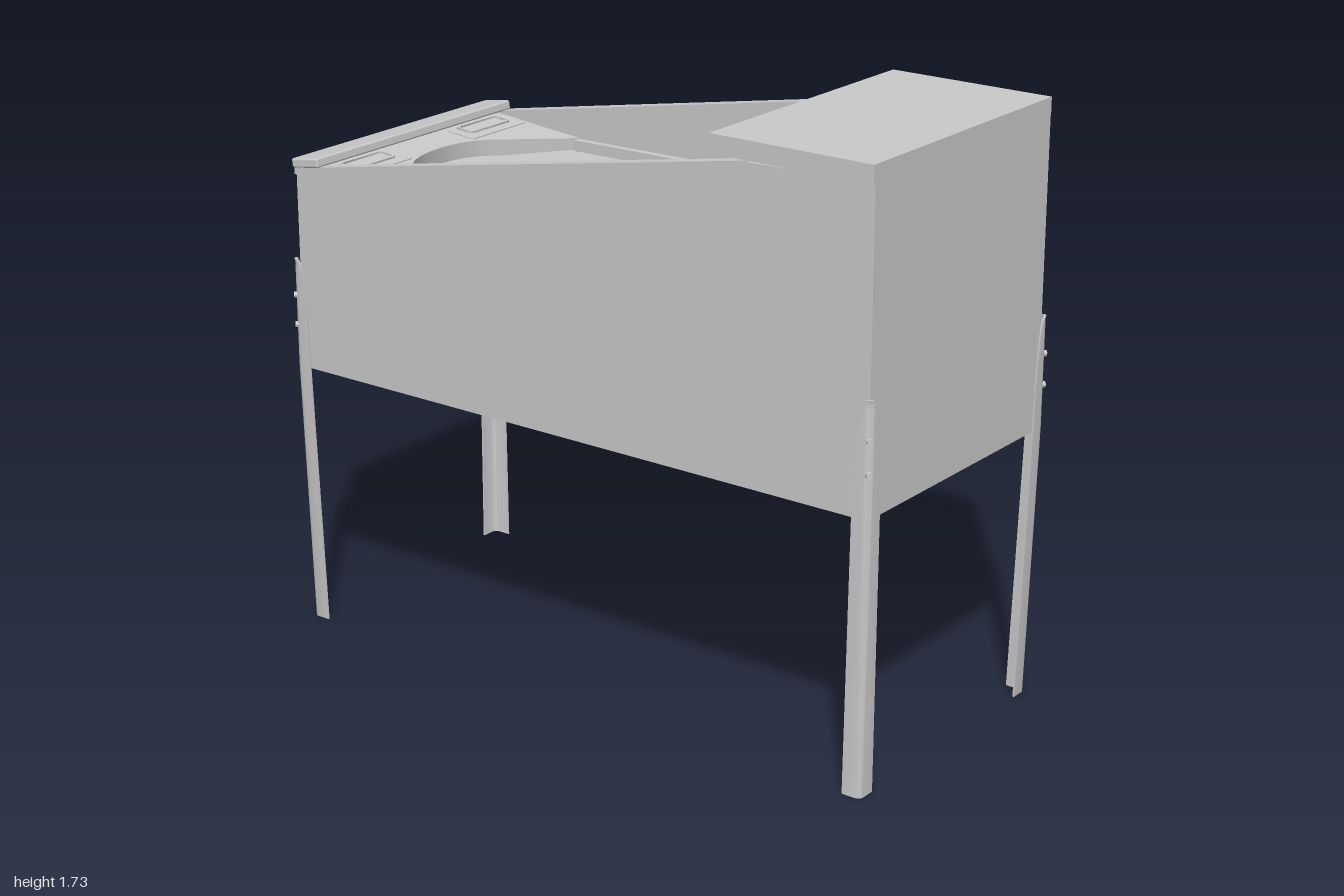
import * as THREE from 'three';
import { RoundedBoxGeometry } from 'three/addons/geometries/RoundedBoxGeometry.js';
import { toCreasedNormals } from 'three/addons/utils/BufferGeometryUtils.js';

const grey = new THREE.MeshStandardMaterial({ color: 0xcccccc });
const sheet = new THREE.MeshStandardMaterial({ color: 0xcccccc, side: THREE.DoubleSide });

function add(parent, name, geometry, x = 0, y = 0, z = 0, material = grey) {
  const mesh = new THREE.Mesh(geometry, material);
  mesh.name = name;
  mesh.position.set(x, y, z);
  parent.add(mesh);
  return mesh;
}
const box = (w, h, d) => new THREE.BoxGeometry(w, h, d);

// Rounded rectangle, centred on (cx, cy)
function roundRect(w, h, r, cx = 0, cy = 0, Type = THREE.Shape) {
  const s = new Type(), a = w / 2 - r, b = h / 2 - r;
  s.absarc(cx + a, cy + b, r, 0, Math.PI / 2);
  s.absarc(cx - a, cy + b, r, Math.PI / 2, Math.PI);
  s.absarc(cx - a, cy - b, r, Math.PI, Math.PI * 1.5);
  s.absarc(cx + a, cy - b, r, Math.PI * 1.5, Math.PI * 2);
  s.closePath();
  return s;
}
const frameShape = (w, h, r, t) => {
  const s = roundRect(w, h, r);
  s.holes.push(roundRect(w - 2 * t, h - 2 * t, Math.max(r - t, 0.006), 0, 0, THREE.Path));
  return s;
};
const extrude = (shape, depth, bevel = 0) => toCreasedNormals(new THREE.ExtrudeGeometry(shape, {
  depth, bevelEnabled: bevel > 0, bevelSize: bevel, bevelThickness: bevel, bevelOffset: -bevel,
  bevelSegments: 2, curveSegments: 8,
}), 0.6);

// Folded sheet leg: L-shaped cross-sections with a rounded corner, tapering to a rounded top
function legGeometry() {
  const rows = [[0, 0.058, 0.014], [0.8, 0.053, 0], [0.92, 0.05, 0], [1.0, 0.043, 0],
    [1.06, 0.037, 0], [1.095, 0.03, 0], [1.112, 0.023, 0], [1.12, 0.014, 0]]; // y, flange width, inset
  const pos = [], idx = [], r = 0.018, t = 0.005, n = 16;
  for (const [y, w, inset] of rows) {
    const ring = [];
    const side = (o, e, rad) => {
      const q = Math.min(rad, w - 0.002), pts = [[-w, -o]];
      for (let i = 0; i <= 6; i++) {
        const a = Math.PI / 2 * (1 - i / 6);
        pts.push([-o - q + q * Math.cos(a), -o - q + q * Math.sin(a)]);
      }
      pts.push([-o, -w]);
      return pts;
    };
    ring.push(...side(0, w, r), ...side(t, w, r - t).reverse().slice(0, 8), [-w, -t]);
    ring.length = 18;
    for (const [x, z] of ring) pos.push(0.434 - inset + x, y, 0.997 - inset + z);
  }
  const m = n + 2;
  for (let k = 0; k < rows.length - 1; k++) for (let i = 0; i < m; i++) {
    const a = k * m + i, b = k * m + (i + 1) % m;
    idx.push(a, a + m, b, b, a + m, b + m);
  }
  // End caps between the outer and inner skins
  for (const k of [0, rows.length - 1]) for (let i = 0; i < m / 2 - 1; i++) {
    const a = k * m + i, b = k * m + m - 1 - i;
    idx.push(a, a + 1, b, a + 1, b - 1, b);
  }
  const g = new THREE.BufferGeometry();
  g.setAttribute('position', new THREE.Float32BufferAttribute(pos, 3));
  g.setIndex(idx);
  return toCreasedNormals(g, 0.6);
}

export function createModel() {
  const model = new THREE.Group();
  model.name = 'arcadeTable';

  // Cabinet sides with the sloping rim
  const profile = new THREE.Shape([[-0.98, 0.79], [0.985, 0.79], [0.985, 1.68], [0.6, 1.67], [-0.98, 1.385]]
    .map(([z, y]) => new THREE.Vector2(z, y)));
  for (const s of [-1, 1]) {
    const g = new THREE.ExtrudeGeometry(profile, { depth: 0.03, bevelEnabled: false });
    g.rotateY(-Math.PI / 2);
    add(model, s > 0 ? 'leftSide' : 'rightSide', g, s * 0.405 + 0.015, 0, 0);
    // Thin metal trim along the rim
    const trim = add(model, 'rimTrim', box(0.034, 0.006, 1.6), s * 0.405, 1.529, -0.19);
    trim.rotation.x = -Math.atan2(0.285, 1.58);
  }

  // End panels, floor and head
  add(model, 'headPanel', box(0.78, 0.89, 0.03), 0, 1.235, 0.97);
  add(model, 'doorPanel', box(0.78, 0.595, 0.03), 0, 1.0875, -0.965);
  add(model, 'floor', box(0.78, 0.012, 1.92), 0, 0.808, 0);
  add(model, 'backWall', box(0.78, 0.36, 0.02), 0, 1.5, 0.64);
  add(model, 'headCap', box(0.85, 0.053, 0.5), -0.005, 1.7035, 0.736);

  // Playfield and its side rails
  const tilt = -0.012;
  add(model, 'playfield', box(0.78, 0.02, 1.58), 0, 1.327, -0.15).rotation.x = tilt;
  for (const s of [-1, 1])
    add(model, 'playfieldRail', box(0.022, 0.06, 1.24), s * 0.379, 1.342, 0.02).rotation.x = tilt;

  // Apron with an arched edge
  const apron = new THREE.Group();
  apron.name = 'apron';
  const a = new THREE.Shape();
  a.moveTo(-0.39, 0.6);
  a.lineTo(-0.17, 0.765);
  a.bezierCurveTo(-0.09, 0.825, 0.09, 0.825, 0.17, 0.765);
  a.lineTo(0.39, 0.6);
  a.lineTo(0.39, 0.95);
  a.lineTo(-0.39, 0.95);
  a.closePath();
  const flat = (shape, d) => extrude(shape, d).rotateX(-Math.PI / 2);
  add(apron, 'apronPlate', flat(a, 0.05), 0, -0.05, 0);
  for (const s of [-1, 1]) {
    add(apron, 'cardBase', flat(roundRect(0.245, 0.1, 0.01), 0.003), s * 0.255, 0, -0.847);
    add(apron, 'cardFrame', flat(frameShape(0.18, 0.065, 0.014, 0.008), 0.009), s * 0.255, 0, -0.862);
  }
  apron.position.set(0, 1.313, 0);
  apron.rotation.x = 0.09;
  model.add(apron);

  // Lock bar across the low end
  add(model, 'lockBar', new RoundedBoxGeometry(0.85, 0.028, 0.1, 2, 0.006), -0.004, 1.411, -0.94)
    .rotation.x = -0.15;
  add(model, 'lockBarLip', box(0.84, 0.03, 0.012), 0, 1.385, -0.982);

  // Service door with frame, hinge and bolts
  const door = new THREE.Group();
  door.name = 'serviceDoor';
  door.position.set(0, 1.115, -0.98);
  door.rotation.y = Math.PI;
  add(door, 'doorFrame', extrude(frameShape(0.49, 0.41, 0.03, 0.028), 0.007, 0.003));
  add(door, 'doorLeaf', extrude(roundRect(0.415, 0.335, 0.018), 0.005, 0.002));
  add(door, 'doorHinge', box(0.012, 0.3, 0.012), 0.2, 0, 0.006);
  add(door, 'doorTopFold', box(0.38, 0.014, 0.01), 0, 0.155, 0.006);
  const dot = (r, d) => new THREE.CylinderGeometry(r, r, d, 12).rotateX(Math.PI / 2);
  for (const s of [-1, 1]) {
    for (const y of [-0.15, 0, 0.15]) add(door, 'doorBolt', dot(0.005, 0.008), s * 0.262, y, 0.002);
    for (const x of [-0.16, 0, 0.16]) add(door, 'doorBolt', dot(0.005, 0.008), x, s * 0.222, 0.002);
  }
  model.add(door);

  // Plunger collar, start button and a row of screws under the bar
  add(model, 'plungerCollar', new THREE.TorusGeometry(0.022, 0.005, 8, 24), 0.34, 1.22, -0.981);
  add(model, 'plungerTip', dot(0.013, 0.008), 0.34, 1.22, -0.982);
  const shield = new THREE.Shape();
  shield.moveTo(-0.022, 0.018);
  shield.lineTo(0.022, 0.018);
  shield.quadraticCurveTo(0.02, -0.014, 0, -0.024);
  shield.quadraticCurveTo(-0.02, -0.014, -0.022, 0.018);
  add(model, 'startButton', extrude(shield, 0.008), -0.34, 1.225, -0.987);
  for (let i = 0; i < 9; i++) add(model, 'barScrew', dot(0.004, 0.006), -0.36 + i * 0.09, 1.355, -0.981);

  // Four legs with corner bolts
  const legGeo = legGeometry();
  const boltGeo = new THREE.CylinderGeometry(0.009, 0.011, 0.014, 6).rotateX(Math.PI / 2);
  for (const sx of [-1, 1]) for (const sz of [-1, 1]) {
    const leg = new THREE.Group();
    leg.name = (sz > 0 ? 'front' : 'back') + (sx > 0 ? 'Left' : 'Right') + 'Leg';
    const angle = sx * sz > 0 ? 0 : Math.PI;
    const skin = add(leg, 'legSheet', legGeo, 0, 0, 0, sheet);
    skin.scale.set(sx, 1, sz);
    for (const y of [0.92, 1.01])
      add(leg, 'legBolt', boltGeo, sx * 0.429, y, sz * 0.992).rotation.y = Math.atan2(sx, sz);
    model.add(leg);
  }
  return model;
}
